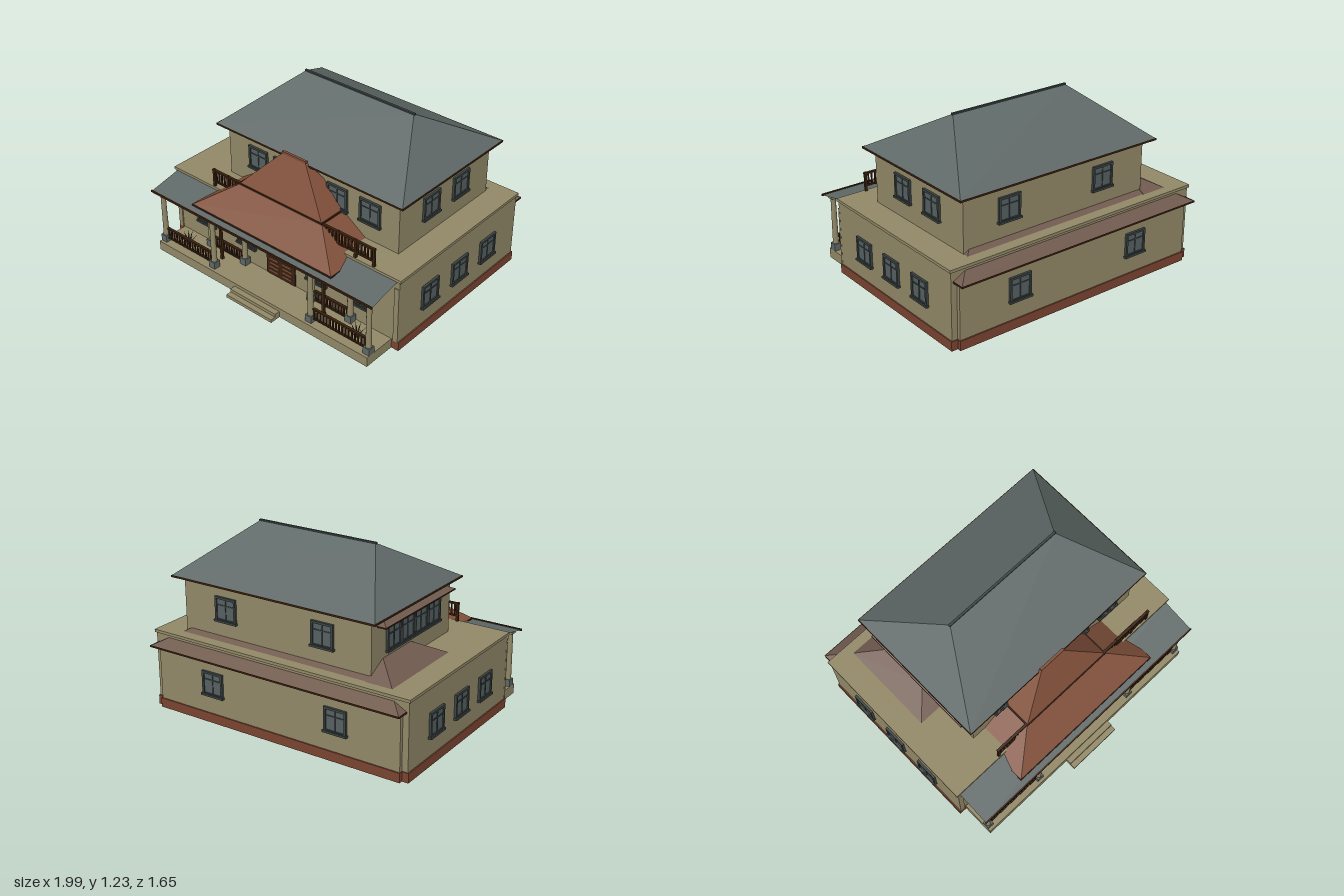
import * as THREE from 'three';

const mat = (name, color, side = THREE.FrontSide) => {
  const m = new THREE.MeshStandardMaterial({ color, side });
  m.name = name;
  return m;
};

export function createModel() {
  const M = {
    wall: mat('cream wall', 0x928867),
    slate: mat('grey slate', 0x5f6967, THREE.DoubleSide),
    tile: mat('brown tile', 0x80503a),
    oldTile: mat('faded tile', 0x705a4e),
    brick: mat('brick base', 0x7a4431),
    wood: mat('dark wood', 0x3c2210),
    frame: mat('window frame', 0x3b4443),
    glass: mat('window glass', 0x566061),
    leaf: mat('plant leaf', 0x434d3b, THREE.DoubleSide),
  };
  const house = new THREE.Group();
  house.name = 'house';

  const add = (name, geo, m, parent = house) => {
    const mesh = new THREE.Mesh(geo, m);
    mesh.name = name;
    parent.add(mesh);
    return mesh;
  };
  const group = (name, parent = house) => {
    const g = new THREE.Group();
    g.name = name;
    parent.add(g);
    return g;
  };
  // box from its min and max along x, y, z
  const box = (name, m, x0, x1, y0, y1, z0, z1, parent = house) => {
    const mesh = add(name, new THREE.BoxGeometry(x1 - x0, y1 - y0, z1 - z0), m, parent);
    mesh.position.set((x0 + x1) / 2, (y0 + y1) / 2, (z0 + z1) / 2);
    return mesh;
  };
  // hipped block: a box whose top rectangle differs from its base
  const hip = (name, m, [x0, x1, z0, z1, y0], [X0, X1, Z0, Z1, y1]) => {
    const g = new THREE.BoxGeometry(1, 1, 1).toNonIndexed();
    const p = g.attributes.position;
    for (let i = 0; i < p.count; i++) {
      const right = p.getX(i) > 0, front = p.getZ(i) > 0;
      if (p.getY(i) > 0) p.setXYZ(i, right ? X1 : X0, y1, front ? Z1 : Z0);
      else p.setXYZ(i, right ? x1 : x0, y0, front ? z1 : z0);
    }
    g.computeVertexNormals();
    return add(name, g, m);
  };

  // base and ground floor
  box('foundation', M.brick, -0.98, 0.98, 0, 0.065, -0.745, 0.512);
  box('backFoundation', M.brick, -0.935, 0.935, 0, 0.065, -0.772, -0.74);
  box('groundFloor', M.wall, -0.972, 0.972, 0.065, 0.525, -0.738, 0.508);
  box('backWallBay', M.wall, -0.93, 0.93, 0.065, 0.47, -0.763, -0.73);
  box('terraceCap', M.wall, -0.982, 0.982, 0.522, 0.542, -0.747, 0.514);

  // upper floor and main roof
  box('upperFloor', M.wall, -0.64, 0.80, 0.54, 0.92, -0.63, 0.305);
  box('mainEave', M.wood, -0.702, 0.862, 0.914, 0.926, -0.692, 0.362);
  hip('mainRoof', M.slate, [-0.698, 0.858, -0.688, 0.358, 0.926], [-0.37, 0.53, -0.17, -0.16, 1.222]);
  box('ridgeCap', M.frame, -0.375, 0.535, 1.214, 1.23, -0.173, -0.157);

  // lean-to roofs at the back and side
  box('backEave', M.wood, -0.957, 0.957, 0.448, 0.459, -0.827, -0.735);
  hip('backLeanTo', M.oldTile, [-0.952, 0.952, -0.822, -0.62, 0.459], [-0.76, 0.76, -0.63, -0.62, 0.563]);
  hip('sideLeanTo', M.oldTile, [-0.82, -0.63, -0.68, 0, 0.54], [-0.645, -0.63, -0.505, -0.175, 0.635]);
  box('sideAwningEave', M.wood, -0.703, -0.63, 0.856, 0.865, -0.57, 0.27);
  hip('sideAwning', M.oldTile, [-0.70, -0.63, -0.567, 0.267, 0.865], [-0.645, -0.63, -0.51, 0.21, 0.893]);

  // two-tier entrance roof
  box('lowerEave', M.wood, -0.604, 0.604, 0.489, 0.5, 0.29, 0.712);
  hip('lowerEntranceRoof', M.tile, [-0.6, 0.6, 0.29, 0.708, 0.5], [-0.35, 0.35, 0.29, 0.505, 0.668]);
  box('middleEave', M.wood, -0.358, 0.358, 0.664, 0.675, 0.29, 0.514);
  hip('upperEntranceRoof', M.tile, [-0.35, 0.35, 0.22, 0.508, 0.675], [-0.095, 0.095, 0.358, 0.368, 0.942]);
  box('entranceRidgeCap', M.tile, -0.1, 0.1, 0.935, 0.953, 0.354, 0.372);

  // porch floor, steps and thin sloped roof
  box('porchFloor', M.wall, -0.925, 0.925, 0, 0.07, 0.512, 0.75);
  [0.046, 0.023].forEach((h, i) =>
    box('step', M.wall, -0.2, 0.2, 0, h, 0.74, 0.79 + i * 0.038));
  const sheet = add('porchRoof', new THREE.PlaneGeometry(1.91, Math.hypot(0.243, 0.052)), M.slate);
  sheet.position.set(0, 0.498, 0.632);
  sheet.rotation.x = -Math.atan2(0.243, 0.052);
  box('porchFascia', M.wood, -0.957, 0.957, 0.466, 0.48, 0.748, 0.758);

  // columns with stone bases, and timber posts
  const column = (x, z, top) => {
    const g = group('column');
    const shaft = add('shaft', new THREE.CylinderGeometry(0.017, 0.02, top - 0.12, 12), M.wall, g);
    shaft.position.set(x, (top + 0.12) / 2, z);
    box('columnBase', M.slate, x - 0.025, x + 0.025, 0.07, 0.12, z - 0.025, z + 0.025, g);
    box('capital', M.wall, x - 0.024, x + 0.024, top - 0.014, top, z - 0.024, z + 0.024, g);
  };
  // railing along x with evenly spaced balusters
  const railing = (name, x0, x1, y0, y1, z) => {
    const g = group(name);
    box('topRail', M.wood, x0, x1, y1 - 0.012, y1, z - 0.009, z + 0.009, g);
    box('bottomRail', M.wood, x0, x1, y0, y0 + 0.01, z - 0.007, z + 0.007, g);
    const n = Math.round((x1 - x0) / 0.026);
    for (let i = 0; i <= n; i++) {
      const x = x0 + 0.006 + (x1 - x0 - 0.012) * i / n;
      box('baluster', M.wood, x - 0.0045, x + 0.0045, y0, y1 - 0.01, z - 0.0045, z + 0.0045, g);
    }
  };
  // potted spiky plant made of leaning leaves
  const plant = (x, z) => {
    const g = group('plant');
    for (let i = 0; i < 9; i++) {
      const leaf = new THREE.ConeGeometry(0.011, 0.1, 4);
      leaf.scale(1, 1, 0.4).translate(0, 0.05, 0).rotateX(i === 8 ? 0 : 0.45 + 0.25 * (i % 2));
      leaf.rotateY(i * Math.PI / 4);
      add('leaf', leaf, M.leaf, g).position.set(x, 0.07, z);
    }
  };
  for (const s of [-1, 1]) {
    column(s * 0.9, 0.705, 0.468);
    column(s * 0.43, 0.705, 0.468);
    column(s * 0.62, 0.545, 0.392);
    column(s * 0.3, 0.545, 0.392);
    box('timberPost', M.wood, s * 0.455 - 0.009, s * 0.455 + 0.009, 0.07, 0.49, 0.6, 0.618);
    box('cornerPilaster', M.wall, s * 0.955 - 0.018, s * 0.955 + 0.018, 0.065, 0.47, 0.5, 0.516);
    const span = (a, b) => (s > 0 ? [a, b] : [-b, -a]);
    railing('porchRailing', ...span(0.455, 0.875), 0.095, 0.182, 0.705);
    railing('innerRailing', ...span(0.325, 0.6), 0.08, 0.16, 0.545);
    plant(s * 0.75, 0.64);
  }
  railing('balconyRailing', -0.61, -0.35, 0.575, 0.672, 0.5);
  railing('balconyRailing', 0.35, 0.775, 0.575, 0.672, 0.5);
  for (const x of [-0.6, -0.47, 0.48, 0.62, 0.765])
    box('railPost', M.wood, x - 0.008, x + 0.008, 0.54, 0.675, 0.492, 0.508);
  box('balconyPanel', M.tile, 0.35, 0.69, 0.555, 0.583, 0.47, 0.478);

  // beams over the entrance
  box('porchBeam', M.wood, -0.69, 0.69, 0.403, 0.417, 0.508, 0.55);
  box('lowerBeam', M.wood, -0.72, 0.72, 0.386, 0.396, 0.508, 0.535);
  box('beamTiles', M.tile, 0.05, 0.69, 0.417, 0.44, 0.508, 0.522);

  // double door with glazed tops and slatted bottoms
  const door = group('doubleDoor');
  box('doorPanel', M.wood, -0.125, 0.125, 0.07, 0.385, 0.5, 0.517, door);
  for (const s of [-1, 1]) {
    box('doorGlass', M.glass, s * 0.058 - 0.043, s * 0.058 + 0.043, 0.23, 0.335, 0.515, 0.521, door);
    for (let i = 0; i < 4; i++)
      box('doorSlat', M.tile, s * 0.058 - 0.04, s * 0.058 + 0.04, 0.095 + i * 0.032, 0.107 + i * 0.032, 0.515, 0.521, door);
  }

  // window: glass, border, cross bars and sill, turned to face its wall
  const windowUnit = (x, y, z, turn, w = 0.165) => {
    const g = group('window');
    const h = 0.165, a = w / 2, b = h / 2, t = 0.015;
    box('pane', M.glass, -a + 0.005, a - 0.005, -b + 0.005, b - 0.005, 0, 0.008, g);
    for (const s of [-1, 1]) {
      box('jamb', M.frame, s * (a - t / 2) - t / 2, s * (a - t / 2) + t / 2, -b, b, 0, 0.016, g);
      box('rail', M.frame, -a, a, s * (b - t / 2) - t / 2, s * (b - t / 2) + t / 2, 0, 0.016, g);
    }
    box('mullion', M.frame, -0.004, 0.004, -b, b, 0, 0.012, g);
    box('transom', M.frame, -a, a, 0.022, 0.03, 0, 0.012, g);
    box('sill', M.frame, -a - 0.006, a + 0.006, -b - 0.006, -b + 0.008, 0, 0.024, g);
    g.position.set(x, y, z);
    g.rotation.y = turn;
  };
  const low = 0.278, high = 0.752, q = Math.PI / 2;
  for (const x of [-0.69, -0.31, 0.31, 0.67]) windowUnit(x, low, 0.508, 0);
  for (const x of [-0.37, -0.145, 0.31, 0.575]) windowUnit(x, high, 0.305, 0);
  for (const z of [0.2, -0.11, -0.42]) {
    windowUnit(0.972, low, z, q);
    windowUnit(-0.972, low, z, -q);
  }
  for (const z of [-0.01, -0.32]) windowUnit(0.8, high, z, q);
  for (let i = 0; i < 4; i++) windowUnit(-0.64, high, -0.39 + i * 0.16, -q, 0.158);
  for (const x of [-0.475, 0.48]) windowUnit(x, low, -0.763, Math.PI);
  for (const x of [-0.29, 0.46]) windowUnit(x, high, -0.63, Math.PI);

  return house;
}
